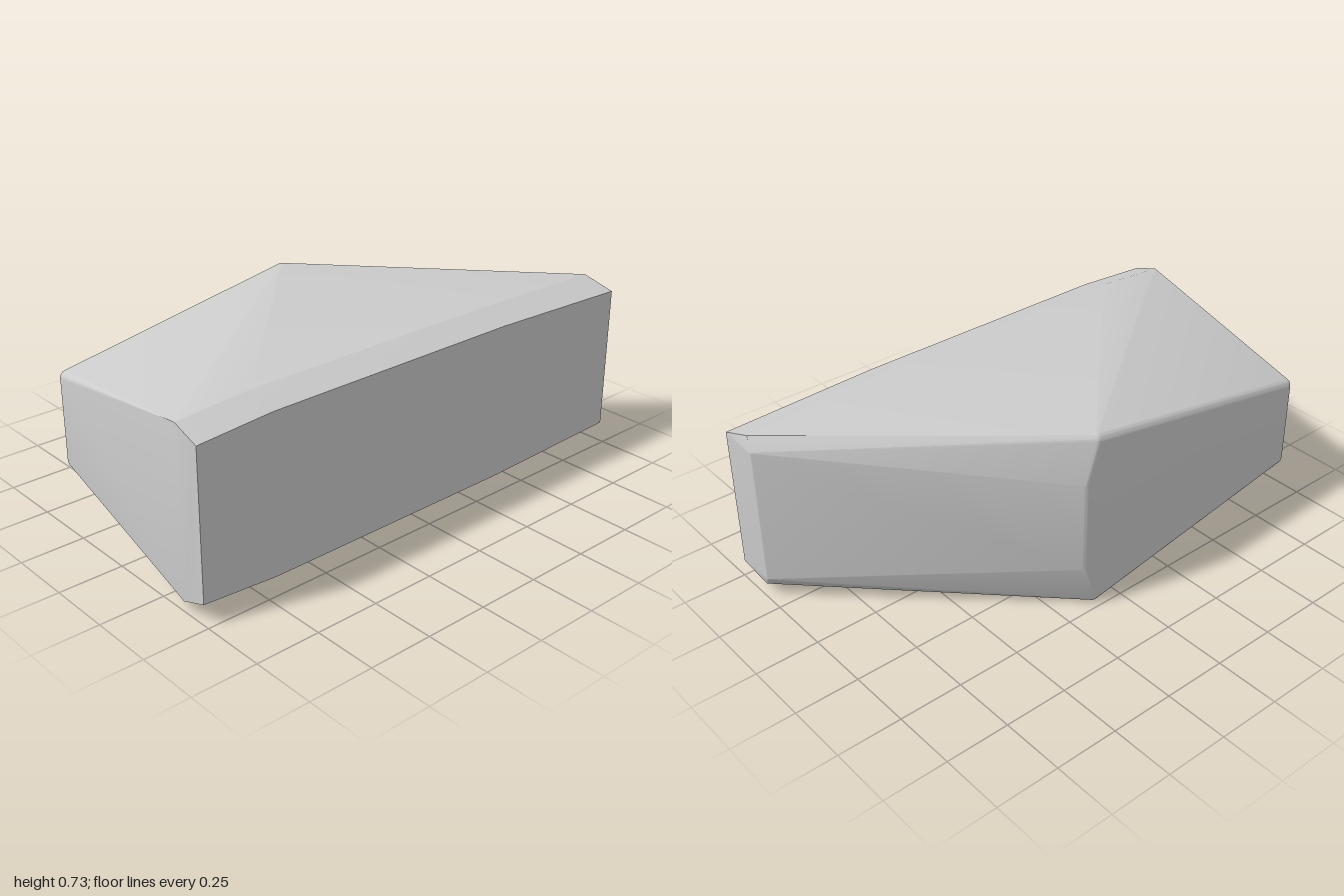
import * as THREE from 'three';
import { ConvexGeometry } from 'three/addons/geometries/ConvexGeometry.js';
import { toCreasedNormals } from 'three/addons/utils/BufferGeometryUtils.js';

const HEIGHT = 0.73;

// Corners of the upper half: x, y, z, rounding radius (0 = sharp)
const corners = [
  // front face top edge
  [-1, 0.65, 0.48, 0], [-0.7, 0.67, 0.48, 0], [0.38, 0.67, 0.48, 0], [1, 0.65, 0.48, 0],
  // front chamfer, upper edge
  [-1, 0.69, 0.37, 0], [-0.7, 0.71, 0.37, 0], [0.38, 0.71, 0.37, 0], [0.985, 0.69, 0.355, 0],
  // right end, where the slanted side begins
  [0.988, 0.638, 0.325, 0.012],
  // back: peak, slanted-side corner, lower left corner
  [0.1, 0.7, -0.45, 0.03], [0.15, 0.545, -0.45, 0.03], [-0.888, 0.53, -0.45, 0.03],
];

// Points of a small ball, or a single point for a sharp corner
function cornerPoints(x, y, z, radius) {
  const centre = new THREE.Vector3(x, y, z);
  if (radius === 0) return [centre];
  const pos = new THREE.IcosahedronGeometry(radius, 4).getAttribute('position');
  const unique = new Map();
  for (let i = 0; i < pos.count; i++) {
    const p = new THREE.Vector3().fromBufferAttribute(pos, i).add(centre);
    unique.set(p.toArray().map(v => v.toFixed(4)).join(), p);
  }
  return [...unique.values()];
}

export function createModel() {
  const group = new THREE.Group();
  group.name = 'wedgeBlock';

  // Upper corners and their mirror images below
  const points = [];
  for (const [x, y, z, r] of corners) {
    points.push(...cornerPoints(x, y, z, r), ...cornerPoints(x, HEIGHT - y, z, r));
  }

  // Faceted body with softly rounded back edges
  const geometry = toCreasedNormals(new ConvexGeometry(points), 0.24);
  const body = new THREE.Mesh(geometry, new THREE.MeshStandardMaterial({ color: 0xcccccc }));
  body.name = 'body';
  group.add(body);
  return group;
}
